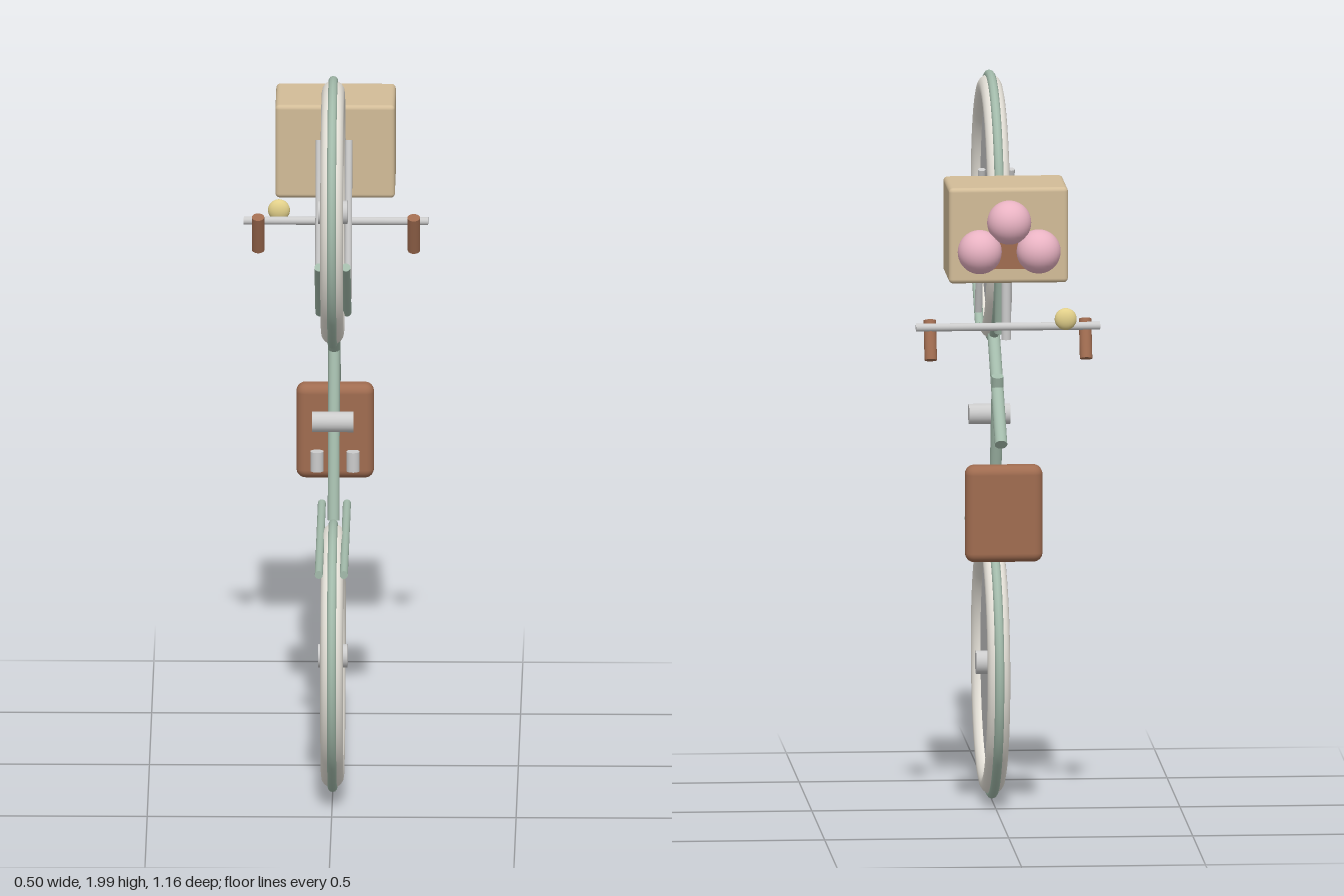
import * as THREE from 'three';
import { RoundedBoxGeometry } from 'three/addons/geometries/RoundedBoxGeometry.js';

const mat = (color) => new THREE.MeshStandardMaterial({ color });

export function createModel() {
  const model = new THREE.Group();
  const grey = mat(0xcccccc), green = mat(0xa3bbab), cream = mat(0xe9e5dc);
  const brown = mat(0xa06c50), beige = mat(0xd2bc98), pink = mat(0xe9b3c3), yellow = mat(0xe2d08a);

  const add = (name, geometry, material, x = 0, y = 0, z = 0, parent = model) => {
    const mesh = new THREE.Mesh(geometry, material);
    mesh.name = name;
    mesh.position.set(x, y, z);
    parent.add(mesh);
    return mesh;
  };

  // Straight rod between two points
  const rod = (name, a, b, r, material, r2 = r) => {
    const from = new THREE.Vector3(...a), to = new THREE.Vector3(...b);
    const dir = to.clone().sub(from);
    const mesh = add(name, new THREE.CylinderGeometry(r2, r, dir.length(), 20), material);
    mesh.position.copy(from).lerp(to, 0.5);
    mesh.quaternion.setFromUnitVectors(new THREE.Vector3(0, 1, 0), dir.normalize());
    return mesh;
  };

  // Wheels: tyre, outer guard ring, disc and hub
  for (const [name, y] of [['lowerWheel', 0.378], ['upperWheel', 1.63]]) {
    const wheel = new THREE.Group();
    wheel.name = name;
    wheel.position.set(0, y, 0.207);
    wheel.rotation.y = Math.PI / 2;
    model.add(wheel);
    add('tyre', new THREE.TorusGeometry(0.327, 0.031, 16, 72), cream, 0, 0, 0, wheel);
    add('guardRing', new THREE.TorusGeometry(0.357, 0.013, 10, 72), green, 0, 0, 0, wheel);
    const disc = add('disc', new THREE.CylinderGeometry(0.31, 0.31, 0.014, 64), grey, 0, 0, 0, wheel);
    const hub = add('hub', new THREE.CylinderGeometry(0.032, 0.032, 0.08, 24), grey, 0, 0, 0, wheel);
    disc.rotation.x = hub.rotation.x = Math.PI / 2;
  }

  // Frame tubes
  rod('seatTube', [0, 0.72, 0.069], [0, 1.207, -0.068], 0.016, green);
  rod('downTube', [0, 1.31, 0.1], [0, 1.04, -0.204], 0.017, green);
  rod('headTube', [0, 1.345, -0.178], [0, 1.67, -0.272], 0.017, green);

  // Paired stays, struts and rack rails
  for (const s of [-1, 1]) {
    rod('stay', [s * 0.037, 1.508, 0.322], [s * 0.037, 1.318, 0.107], 0.012, green);
    rod('strut', [s * 0.04, 1.767, -0.022], [s * 0.04, 1.358, 0.106], 0.01, grey);
    rod('rackRail', [s * 0.034, 0.715, 0.58], [s * 0.034, 0.715, -0.112], 0.011, green);
  }
  rod('crankAxle', [-0.056, 1.052, 0.254], [0.056, 1.052, 0.254], 0.028, grey);

  // Saddle with post and springs
  add('saddle', new RoundedBoxGeometry(0.21, 0.265, 0.064, 5, 0.025), brown, 0, 0.868, -0.302);
  rod('saddlePost', [0, 0.8, -0.244], [0, 0.975, -0.244], 0.011, grey);
  for (const s of [-1, 1]) rod('saddleSpring', [s * 0.049, 0.765, -0.254], [s * 0.049, 0.82, -0.254], 0.018, grey);

  // Lamp
  rod('lamp', [0, 1.605, -0.238], [0, 1.605, -0.27], 0.04, grey);

  // Handlebar, stem, grips and bell
  rod('stem', [0, 1.36, -0.4], [0, 1.55, -0.4], 0.013, grey);
  rod('handlebar', [-0.25, 1.407, -0.473], [0.25, 1.407, -0.473], 0.011, grey);
  for (const s of [-1, 1]) rod('grip', [s * 0.211, 1.423, -0.451], [s * 0.211, 1.32, -0.49], 0.017, brown);
  add('bell', new THREE.SphereGeometry(0.03, 24, 16), yellow, -0.155, 1.43, -0.497).scale.z = 0.6;

  // Basket with its load
  add('basket', new RoundedBoxGeometry(0.324, 0.262, 0.225, 3, 0.012), beige, 0, 1.66, -0.383);
  add('basketLining', new THREE.BoxGeometry(0.16, 0.08, 0.03), brown, 0, 1.61, -0.49);
  for (const [x, y] of [[-0.08, 1.62], [0, 1.7], [0.08, 1.62]])
    add('ball', new THREE.SphereGeometry(0.06, 28, 20), pink, x, y, -0.52);

  return model;
}
